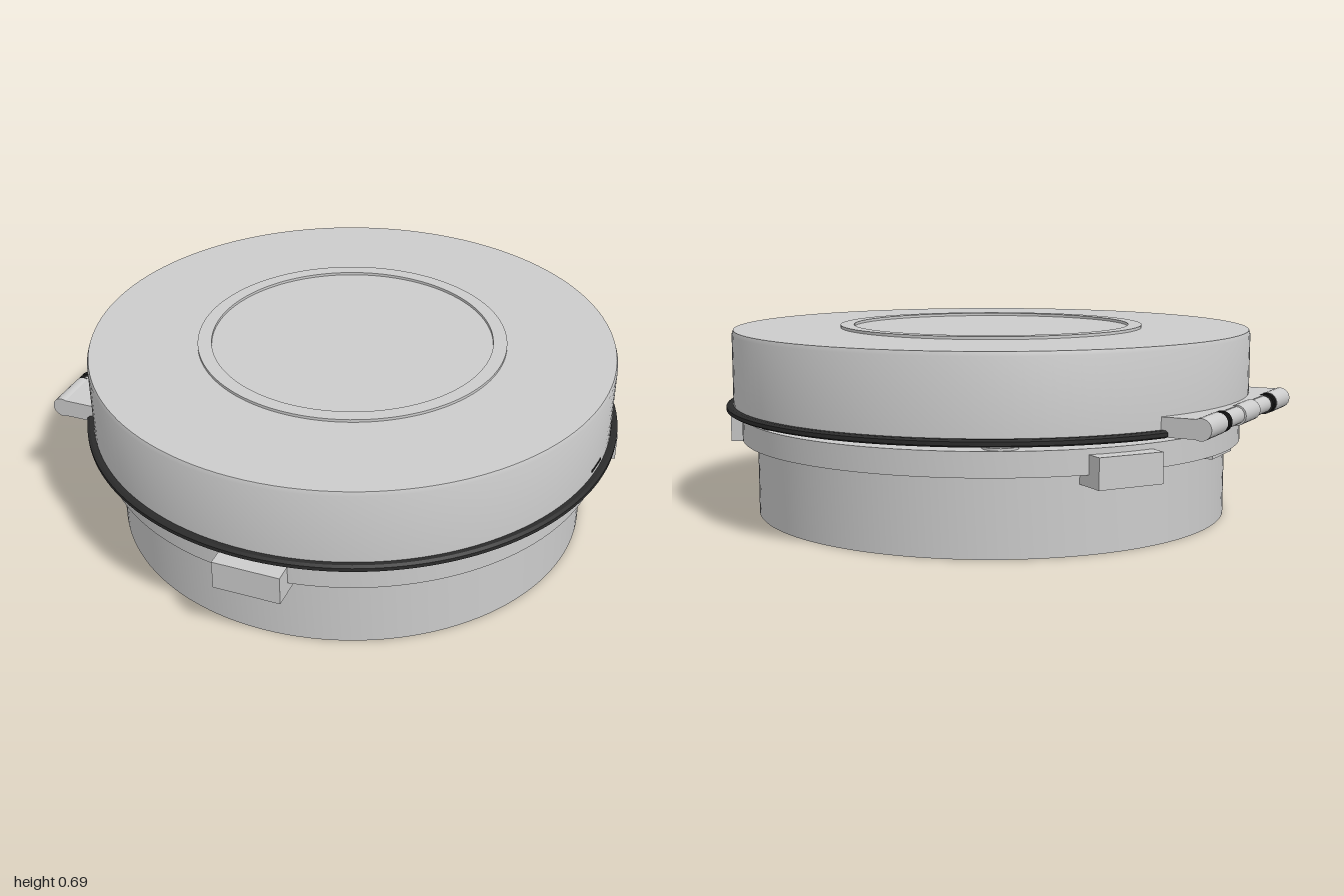
import * as THREE from 'three';
import { toCreasedNormals } from 'three/addons/utils/BufferGeometryUtils.js';

const CX = 0.02, CZ = -0.005; // axis of the round canister
const grey = new THREE.MeshStandardMaterial({ color: 0xcccccc });
const dark = new THREE.MeshStandardMaterial({ color: 0x2b2b2b, side: THREE.DoubleSide });

export function createModel() {
  const model = new THREE.Group();
  model.name = 'hingedCanister';
  const round = new THREE.Group();
  round.name = 'roundBody';
  round.position.set(CX, 0, CZ);
  model.add(round);

  function add(parent, name, geometry, material = grey, x = 0, y = 0, z = 0) {
    const mesh = new THREE.Mesh(geometry, material);
    mesh.name = name;
    mesh.position.set(x, y, z);
    parent.add(mesh);
    return mesh;
  }

  // Revolved profile, counter-clockwise, with sharp corners kept
  function lathe(points, start = 0, length = Math.PI * 2) {
    const pts = points.map(([r, y]) => new THREE.Vector2(r, y));
    return toCreasedNormals(new THREE.LatheGeometry(pts, 128, start, length), 0.5);
  }

  // Hollow base with stepped rim and a hole in the floor
  add(round, 'base', lathe([
    [0.14, 0], [0.87, 0], [0.87, 0.275], [0.925, 0.275], [0.925, 0.36],
    [0.8, 0.36], [0.8, 0.06], [0.14, 0.06], [0.14, 0],
  ]));

  // Lid with a small bevel and a raised ring on top
  add(round, 'lid', lathe([
    [0, 0.385], [0.955, 0.385], [0.955, 0.66], [0.95, 0.675], [0.56, 0.675],
    [0.56, 0.685], [0.51, 0.685], [0.51, 0.675], [0, 0.675],
  ]));

  // Dark seal, interrupted at the hinge
  const cut = 0.466;
  add(round, 'seal', lathe([
    [0.85, 0.38], [0.97, 0.38], [0.98, 0.386], [0.98, 0.399], [0.97, 0.405], [0.85, 0.405], [0.85, 0.38],
  ], Math.PI * 1.5 + cut, Math.PI * 2 - 2 * cut), dark);

  // Fluted centre stem
  add(round, 'stem', new THREE.CylinderGeometry(0.07, 0.07, 0.1, 32), grey, 0, 0.34, 0);
  for (let i = 0; i < 16; i++) {
    const a = (i / 16) * Math.PI * 2;
    add(round, 'stemRib', new THREE.CylinderGeometry(0.009, 0.009, 0.09, 8), grey,
      0.073 * Math.sin(a), 0.34, 0.073 * Math.cos(a));
  }

  // Thin pads on the rim
  for (let i = 0; i < 6; i++) {
    const a = Math.PI / 6 + (i * Math.PI) / 3;
    add(round, 'rimPad', new THREE.CylinderGeometry(0.06, 0.06, 0.012, 24), grey,
      0.86 * Math.sin(a), 0.362, 0.86 * Math.cos(a));
  }

  // Three latch blocks around the rim
  for (const degrees of [0, 110, 235]) {
    const a = THREE.MathUtils.degToRad(degrees);
    const block = add(round, 'latchBlock', new THREE.BoxGeometry(0.24, 0.105, 0.13), grey,
      0.915 * Math.sin(a), 0.288, 0.915 * Math.cos(a));
    block.rotation.y = a;
  }

  // Two narrow slots low on the lid
  for (const side of [-1, 1]) {
    const a = Math.PI / 2 + side * 0.13;
    const slot = add(round, 'slot', new THREE.BoxGeometry(0.088, 0.008, 0.01), dark,
      0.952 * Math.sin(a), 0.428, 0.952 * Math.cos(a));
    slot.rotation.y = a;
  }

  // Hinge: leaf on the lid and a segmented barrel
  const hinge = new THREE.Group();
  hinge.name = 'hinge';
  hinge.position.set(-0.963, 0.415, CZ);
  model.add(hinge);
  add(hinge, 'hingeLeaf', new THREE.BoxGeometry(0.14, 0.066, 0.87), grey, 0.07, 0, 0);
  function barrel(name, radius, length, z, material) {
    const geometry = new THREE.CylinderGeometry(radius, radius, length, 24).rotateX(Math.PI / 2);
    add(hinge, name, geometry, material, 0, 0, z);
  }
  barrel('hingeCore', 0.03, 0.86, 0);
  barrel('hingeKnuckle', 0.036, 0.16, 0);
  for (const side of [-1, 1]) {
    barrel('hingeKnuckle', 0.037, 0.16, side * 0.355);
    for (const z of [0.23, 0.25, 0.27]) barrel('hingeWasher', 0.036, 0.008, side * z, dark);
  }

  // Small hinge support under the base rim
  add(model, 'hingeSupport', new THREE.BoxGeometry(0.06, 0.02, 0.2), grey, -0.86, 0.27, CZ);

  return model;
}
